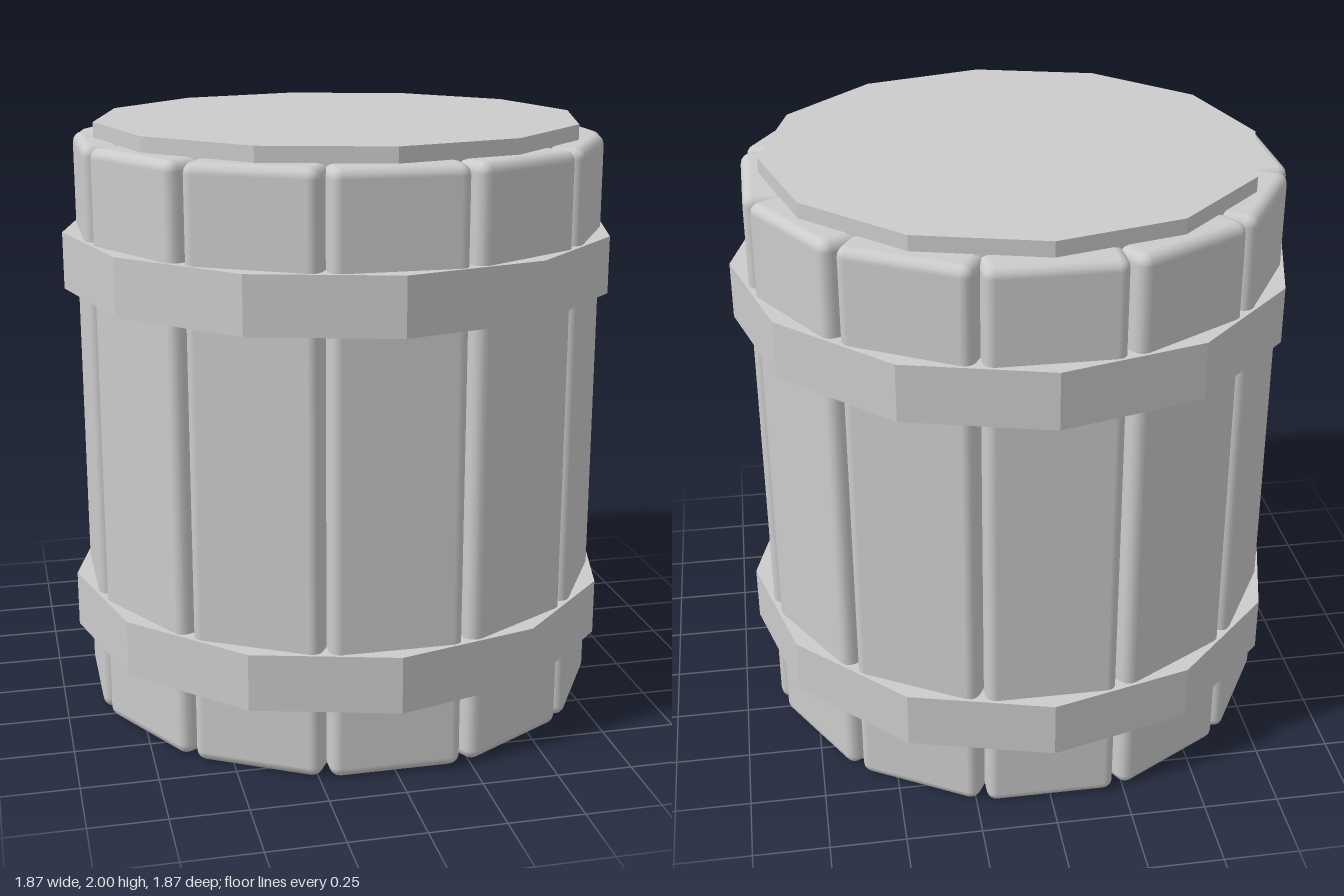
import * as THREE from 'three';
import { RoundedBoxGeometry } from 'three/addons/geometries/RoundedBoxGeometry.js';

const SIDES = 12;

export function createModel() {
  const barrel = new THREE.Group();
  barrel.name = 'barrel';
  const smooth = new THREE.MeshStandardMaterial({ color: 0xcccccc });
  const flat = new THREE.MeshStandardMaterial({ color: 0xcccccc, flatShading: true });

  // Twelve-sided solid drum between two heights
  const addDrum = (name, radius, bottom, top) => {
    const mesh = new THREE.Mesh(new THREE.CylinderGeometry(radius, radius, top - bottom, SIDES), flat);
    mesh.position.y = (bottom + top) / 2;
    mesh.name = name;
    barrel.add(mesh);
  };

  // Core whose top forms the raised lid; the foot of the barrel stays hollow
  addDrum('core', 0.82, 0.26, 2);

  // Hoops
  addDrum('lowerHoop', 0.935, 0.24, 0.43);
  addDrum('upperHoop', 0.935, 1.45, 1.64);

  // Ring of bevelled staves
  const staveGeometry = new RoundedBoxGeometry(0.43, 1.95, 0.215, 2, 0.035);
  staveGeometry.translate(0, 0.975, 0.7675);
  const staves = new THREE.Group();
  staves.name = 'staves';
  for (let i = 0; i < SIDES; i++) {
    const stave = new THREE.Mesh(staveGeometry, smooth);
    stave.rotation.y = (i / SIDES) * Math.PI * 2;
    stave.name = `stave${i + 1}`;
    staves.add(stave);
  }
  barrel.add(staves);

  return barrel;
}
